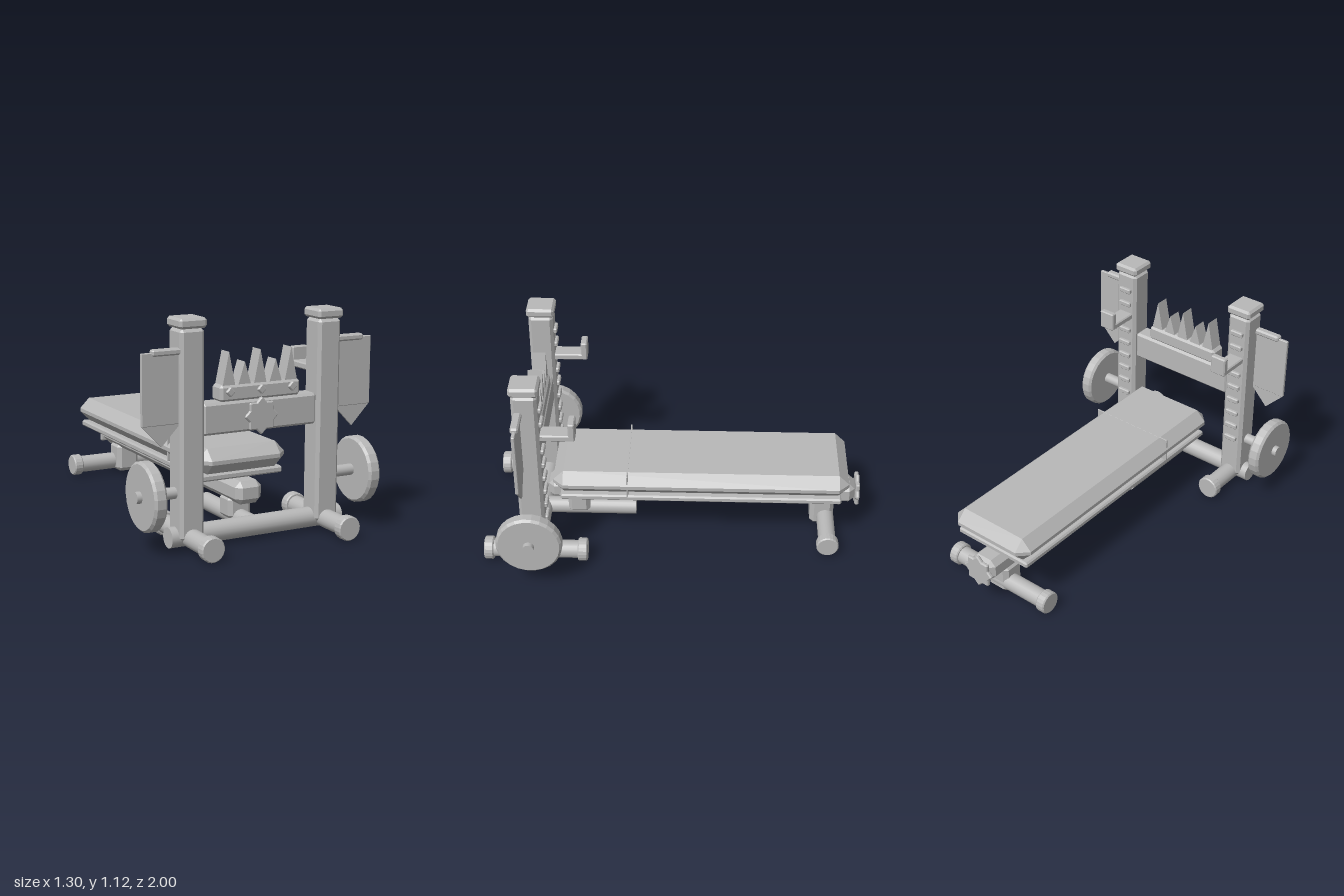
import * as THREE from 'three';
import { ConvexGeometry } from 'three/addons/geometries/ConvexGeometry.js';

const steel = new THREE.MeshStandardMaterial({ color: 0xb8b8b8 });
steel.name = 'grey steel';

// Box with every edge cut by c
function chamferBox(w, h, d, c) {
  const half = [w / 2, h / 2, d / 2], pts = [];
  for (let axis = 0; axis < 3; axis++) {
    for (const sx of [-1, 1]) for (const sy of [-1, 1]) for (const sz of [-1, 1]) {
      const s = [sx, sy, sz];
      pts.push(new THREE.Vector3(...half.map((v, i) => s[i] * (i === axis ? v : v - c))));
    }
  }
  return new ConvexGeometry(pts);
}

// Round disc with chamfered rims, centred, axis along z
function disc(r, depth, c, sides) {
  const shape = new THREE.Shape();
  for (let i = 0; i < sides; i++) {
    const a = (i + 0.5) / sides * Math.PI * 2;
    const x = Math.cos(a) * (r - c), y = Math.sin(a) * (r - c);
    if (i) shape.lineTo(x, y); else shape.moveTo(x, y);
  }
  shape.closePath();
  const g = new THREE.ExtrudeGeometry(shape, {
    depth: depth - 2 * c, bevelThickness: c, bevelSize: c, bevelSegments: 1,
  });
  return g.translate(0, 0, c - depth / 2);
}

// Flat polygon extruded along z and centred
function plate(points, depth) {
  const shape = new THREE.Shape(points.map(([x, y]) => new THREE.Vector2(x, y)));
  return new THREE.ExtrudeGeometry(shape, { depth, bevelEnabled: false }).translate(0, 0, -depth / 2);
}

export function createModel() {
  const model = new THREE.Group();
  model.name = 'weightBench';

  const add = (name, geometry, x, y, z) => {
    const mesh = new THREE.Mesh(geometry, steel);
    mesh.name = name;
    mesh.position.set(x, y, z);
    model.add(mesh);
    return mesh;
  };
  const box = (name, w, h, d, c, x, y, z) => add(name, chamferBox(w, h, d, c), x, y, z);
  const tubeX = (name, r, length, x, y, z) =>
    add(name, new THREE.CylinderGeometry(r, r, length, 20).rotateZ(Math.PI / 2), x, y, z);
  const tubeZ = (name, r, length, x, y, z) =>
    add(name, new THREE.CylinderGeometry(r, r, length, 20).rotateX(Math.PI / 2), x, y, z);
  const star = (name, y, z, depth) => {
    for (const a of [0, Math.PI / 4]) box(name, 0.134, 0.134, depth, 0.006, 0, y, z).rotation.z = a;
  };

  const rackZ = 0.727, footY = 0.065, postX = 0.378;

  // Uprights and everything mounted on them
  for (const s of [-1, 1]) {
    const x = s * postX;
    box('post', 0.13, 1.02, 0.13, 0.016, x, 0.565, rackZ);
    box('postCap', 0.144, 0.05, 0.148, 0.012, x, 1.1, rackZ);
    for (let i = 0; i < 9; i++) {
      box('heightNotch', 0.075, 0.028, 0.03, 0.005, x, 0.975 - i * 0.084, 0.66);
    }
    box('hookArm', 0.09, 0.034, 0.19, 0.006, x, 0.817, 0.582);
    box('hookLip', 0.09, 0.102, 0.034, 0.006, x, 0.852, 0.504);

    // Foot tube with end caps
    tubeZ('foot', 0.048, 0.53, x, footY, 0.724);
    for (const z of [0.974, 0.477]) add('footCap', disc(0.062, 0.05, 0.006, 20), x, footY, z);

    // Wheel on a stub axle
    tubeX('axle', 0.029, 0.272, s * 0.516, 0.285, rackZ);
    add('wheel', disc(0.17, 0.067, 0.012, 24), s * 0.593, 0.285, rackZ).rotation.y = Math.PI / 2;

    // Hanging side plate with a pointed lower end
    box('sidePlate', 0.206, 0.345, 0.018, 0.003, s * 0.531, 0.8, 0.76);
    add('sidePlatePoint', plate([[-0.101, 0], [0, -0.105], [0.101, 0]], 0.012), s * 0.531, 0.629, 0.76);
    box('plateHanger', 0.162, 0.032, 0.042, 0.008, s * 0.501, 0.971, 0.76);
  }

  // Cross members of the rack
  tubeX('baseCrossbar', 0.051, 0.96, 0, 0.067, rackZ);
  box('crossBeam', 0.63, 0.155, 0.1, 0.012, 0, 0.632, rackZ);
  star('beamStar', 0.627, 0.775, 0.022);

  // Spiked rail
  box('spikeRail', 0.444, 0.084, 0.095, 0.014, 0, 0.748, rackZ);
  for (let i = -2; i <= 2; i++) {
    const height = i % 2 ? 0.108 : 0.161;
    add('spike', plate([[-0.034, 0], [0.034, 0], [0, height]], 0.075), i * 0.086, 0.787, rackZ);
    if (i % 2 === 0) box('railStud', 0.037, 0.037, 0.02, 0.005, i * 0.086, 0.757, 0.777).rotation.z = Math.PI / 4;
  }

  // Bench pad, seam, board and spine
  box('pad', 0.496, 0.13, 1.566, 0.055, 0, 0.378, -0.142);
  box('padSeam', 0.482, 0.131, 0.008, 0.001, 0, 0.378, 0.246);
  box('padBoard', 0.462, 0.034, 1.49, 0.008, 0, 0.296, -0.142);
  box('spine', 0.148, 0.118, 1.66, 0.03, 0, 0.217, -0.145);
  star('spineStar', 0.217, -0.989, 0.022);

  // Front bracket and the centre tube it stands on
  box('frontBracket', 0.13, 0.12, 0.118, 0.02, 0, 0.12, 0.525);
  tubeZ('centreTube', 0.046, 0.52, 0, footY, 0.474);

  // Rear foot bar with bracket and caps
  box('rearBracket', 0.134, 0.165, 0.128, 0.022, 0, 0.094, -0.804);
  tubeX('rearFoot', 0.047, 0.6, 0, footY, -0.823);
  for (const s of [-1, 1]) {
    add('rearFootCap', disc(0.059, 0.052, 0.006, 20), s * 0.3, footY, -0.823).rotation.y = Math.PI / 2;
  }

  return model;
}
